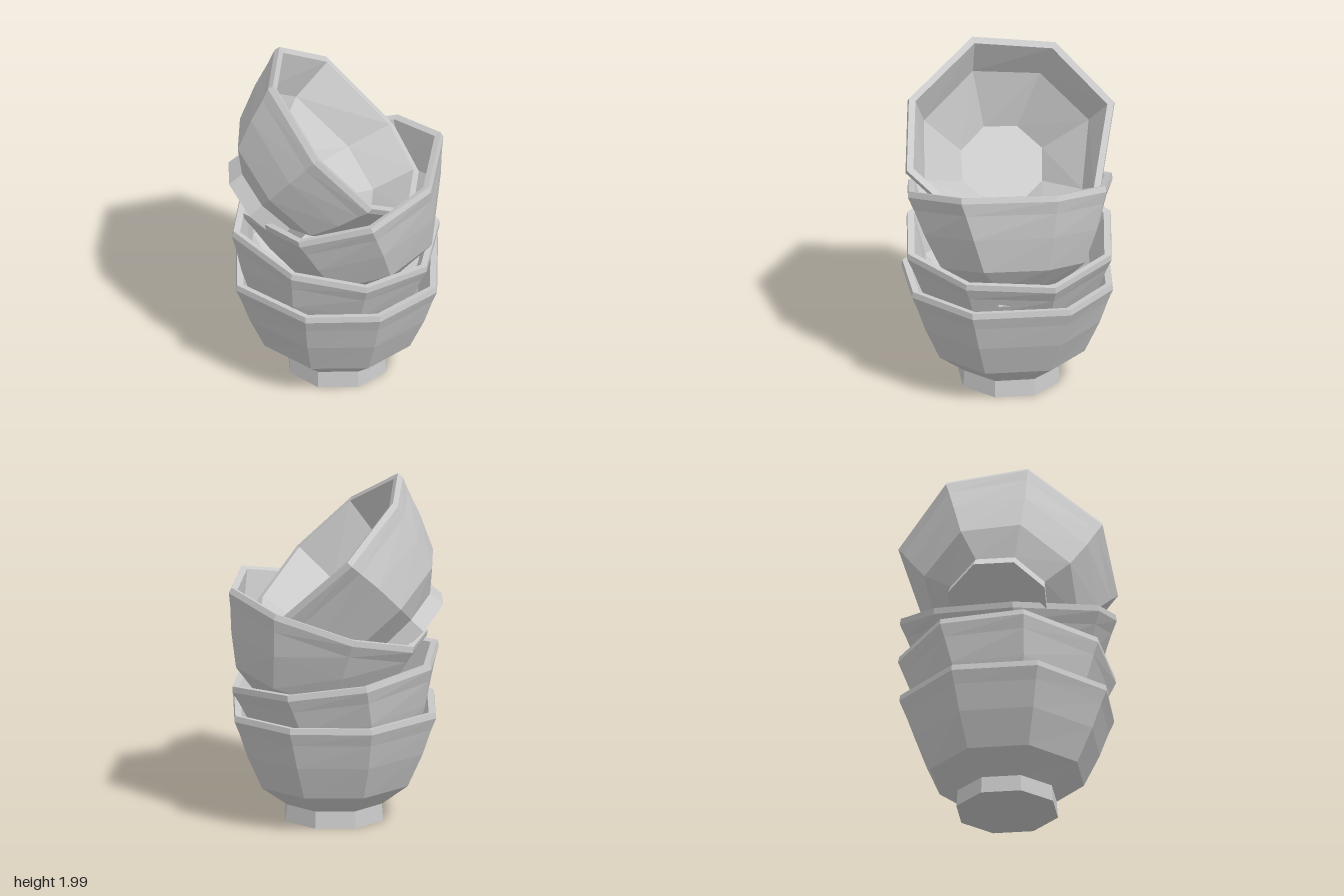
import * as THREE from 'three';

const SIDES = 8;

// Bowl profile from foot, up the outside, over the lip and down inside:
// [radius, height, how far the ring follows the uneven rim outline (0..1)]
const PROFILE = [
  [0, 0, 0], [0.303, 0, 0], [0.295, 0.1, 0],          // foot
  [0.45, 0.22, 0.5], [0.54, 0.42, 0.7], [0.59, 0.57, 0.9], // outer wall
  [0.62, 0.645, 1], [0.615, 0.68, 1], [0.575, 0.675, 1],   // lip
  [0.5, 0.42, 0.7], [0.25, 0.14, 0.3], [0, 0.14, 0],  // inner wall and floor
];

// Hand-made, slightly uneven octagon outlines of the rims, as [x, z],
// running from the front round by +x
const BOWLS = [
  { name: 'bottomBowl', base: [0, 0, 0], tilt: 0, rim: [
    [-0.19, 0.6], [0.24, 0.59], [0.57, 0.28], [0.58, -0.29],
    [0.27, -0.57], [-0.2, -0.6], [-0.58, -0.25], [-0.585, 0.25]] },
  { name: 'secondBowl', base: [-0.095, 0.24, 0], tilt: -8, rim: [
    [-0.27, 0.56], [0.17, 0.61], [0.52, 0.31], [0.6, -0.2],
    [0.29, -0.56], [-0.17, -0.61], [-0.55, -0.32], [-0.61, 0.17]] },
  { name: 'thirdBowl', base: [0.225, 0.6, 0], tilt: 17, rim: [
    [-0.27, 0.56], [0.17, 0.61], [0.52, 0.34], [0.6, -0.21],
    [0.34, -0.52], [-0.13, -0.61], [-0.5, -0.37], [-0.6, 0.1]] },
  { name: 'topBowl', base: [-0.425, 1.09, 0], tilt: -44.5, rim: [
    [-0.24, 0.57], [0.2, 0.62], [0.53, 0.32], [0.59, -0.2],
    [0.385, -0.49], [-0.155, -0.62], [-0.54, -0.31], [-0.6, 0.17]] },
];

function bowlGeometry(rim) {
  // Each ring blends from a regular octagon to the rim outline
  const rings = PROFILE.map(([r, h, follow]) => rim.map(([x, z], i) => {
    const a = (i - 0.5) * 2 * Math.PI / SIDES;
    return [
      r * THREE.MathUtils.lerp(Math.sin(a), x / 0.62, follow), h,
      r * THREE.MathUtils.lerp(Math.cos(a), z / 0.62, follow),
    ];
  }));
  const pos = [];
  for (let k = 0; k < rings.length - 1; k++) {
    const [lo, hi] = [rings[k], rings[k + 1]];
    for (let i = 0; i < SIDES; i++) {
      const j = (i + 1) % SIDES;
      if (PROFILE[k][0] > 0) pos.push(...lo[i], ...lo[j], ...hi[j]);
      if (PROFILE[k + 1][0] > 0) pos.push(...lo[i], ...hi[j], ...hi[i]);
    }
  }
  const geo = new THREE.BufferGeometry();
  geo.setAttribute('position', new THREE.Float32BufferAttribute(pos, 3));
  geo.computeVertexNormals();
  return geo;
}

export function createModel() {
  const group = new THREE.Group();
  group.name = 'bowlStack';
  const material = new THREE.MeshStandardMaterial({ color: 0xcccccc, flatShading: true });
  for (const { name, base, tilt, rim } of BOWLS) {
    const bowl = new THREE.Mesh(bowlGeometry(rim), material);
    bowl.name = name;
    bowl.position.set(...base);
    bowl.rotation.z = THREE.MathUtils.degToRad(tilt);
    group.add(bowl);
  }
  return group;
}
